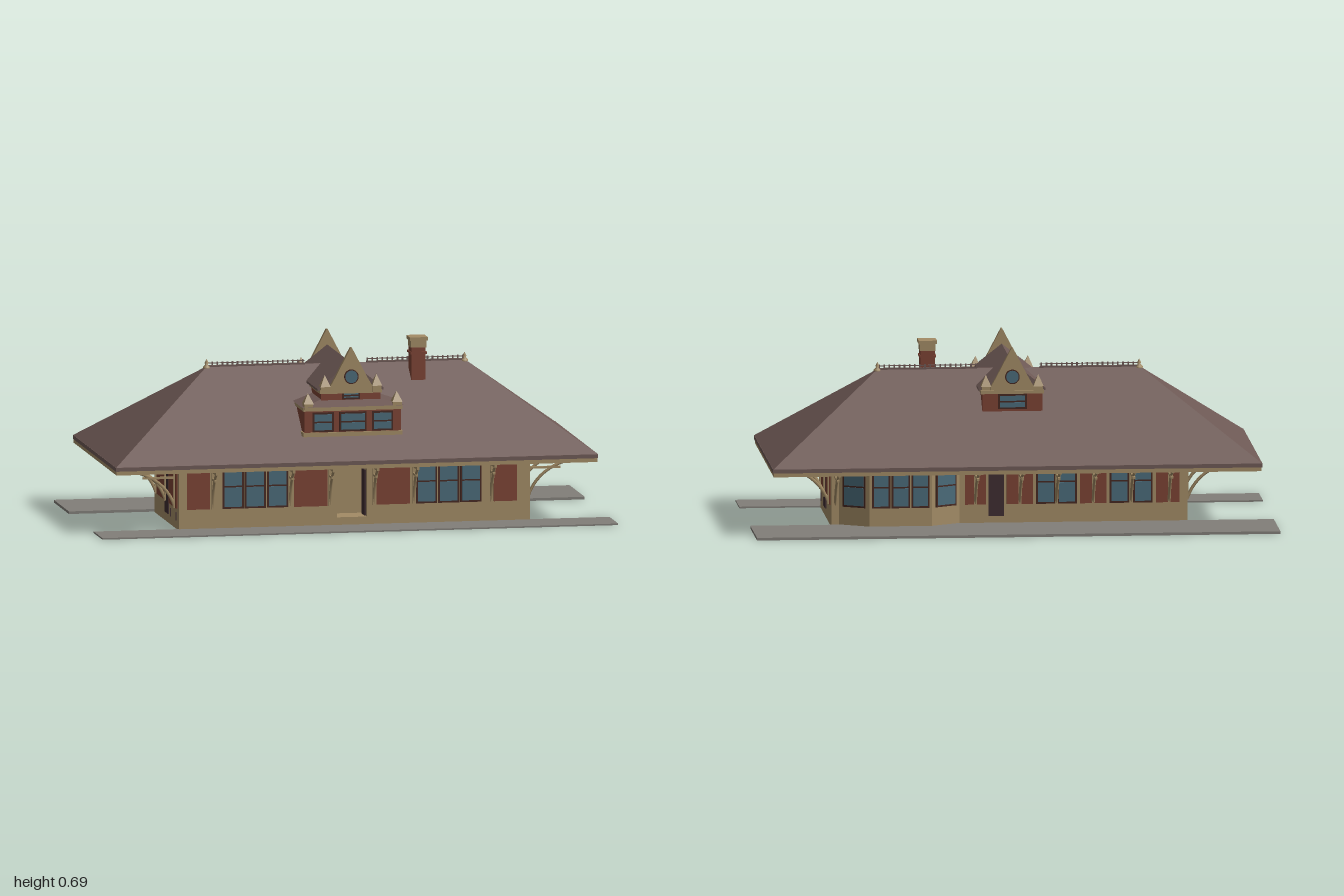
import * as THREE from 'three';

const mat = (name, color, side = THREE.FrontSide) => {
  const m = new THREE.MeshStandardMaterial({ color, side });
  m.name = name;
  return m;
};

export function createModel() {
  const tan = mat('sandstone', 0xa38c66);
  const brick = mat('brick', 0x7c4233);
  const roof = mat('roof slate', 0x6e5955);
  const glass = mat('window glass', 0x4a6b7a);
  const frame = mat('dark frame', 0x45261f);
  const door = mat('door', 0x3e2c30);
  const paving = mat('platform paving', 0x827f79);

  const model = new THREE.Group();
  model.name = 'station';

  const add = (parent, name, geo, material) => {
    const m = new THREE.Mesh(geo, material);
    m.name = name;
    parent.add(m);
    return m;
  };
  // box given by its limits
  const box = (parent, name, material, x0, x1, y0, y1, z0, z1) => {
    const m = add(parent, name, new THREE.BoxGeometry(x1 - x0, y1 - y0, z1 - z0), material);
    m.position.set((x0 + x1) / 2, (y0 + y1) / 2, (z0 + z1) / 2);
    return m;
  };
  // four sloping sides from a lower rectangle to an upper one (or a ridge line)
  const slopes = (name, material, [x0, x1, z0, z1], y0, [a0, a1, b0, b1], y1) => {
    const low = [[x0, y0, z1], [x1, y0, z1], [x1, y0, z0], [x0, y0, z0]];
    const top = [[a0, y1, b1], [a1, y1, b1], [a1, y1, b0], [a0, y1, b0]];
    const pos = [];
    for (let i = 0; i < 4; i++) {
      const j = (i + 1) % 4;
      pos.push(...low[i], ...low[j], ...top[j], ...low[i], ...top[j], ...top[i]);
    }
    pos.push(...top[0], ...top[1], ...top[2], ...top[0], ...top[2], ...top[3]);
    const g = new THREE.BufferGeometry();
    g.setAttribute('position', new THREE.Float32BufferAttribute(pos, 3));
    g.computeVertexNormals();
    return add(model, name, g, material);
  };
  const extrude = (points, depth) => new THREE.ExtrudeGeometry(
    new THREE.Shape(points.map(p => new THREE.Vector2(...p))), { depth, bevelEnabled: false });

  // group on a wall: local x runs along it, local z points outwards
  const wall = (name, x, z, angle) => {
    const g = new THREE.Group();
    g.name = name;
    g.position.set(x, 0, z);
    g.rotation.y = angle;
    model.add(g);
    return g;
  };
  const panel = (g, name, material, u0, u1, y0, y1, out = 0.004) =>
    box(g, name, material, Math.min(u0, u1), Math.max(u0, u1), y0, y1, -0.001, out);
  const windowAt = (g, u, w, y0, y1, rail = 0.55) => {
    panel(g, 'windowFrame', frame, u - w / 2, u + w / 2, y0, y1, 0.004);
    const b = 0.007, r = y0 + (y1 - y0) * rail;
    panel(g, 'lowerPane', glass, u - w / 2 + b, u + w / 2 - b, y0 + b, r - 0.003, 0.006);
    panel(g, 'upperPane', glass, u - w / 2 + b, u + w / 2 - b, r + 0.003, y1 - b, 0.006);
  };
  // curved eave bracket with wall post and two beams
  const bracket = (g, u, reach) => {
    const t = 0.005;
    box(g, 'bracketPost', tan, u - t, u + t, 0.08, 0.235, 0, 0.01);
    box(g, 'bracketBeam', tan, u - t, u + t, 0.222, 0.235, 0, reach);
    box(g, 'bracketTie', tan, u - t, u + t, 0.192, 0.2, 0, reach * 0.68);
    const arc = new THREE.QuadraticBezierCurve3(new THREE.Vector3(u, 0.085, 0.005),
      new THREE.Vector3(u, 0.195, reach * 0.22), new THREE.Vector3(u, 0.225, reach * 0.92));
    add(g, 'bracketArc', new THREE.TubeGeometry(arc, 10, 0.006, 4), tan);
  };

  // platforms
  box(model, 'frontPlatform', paving, -1, 1, 0, 0.006, 0.315, 0.49);
  box(model, 'backPlatform', paving, -1, 1, 0, 0.01, -0.49, -0.185);

  // walls: footprint with an entrance recess and an angled bay at the back
  const footprint = [[-0.67, 0.32], [-0.058, 0.32], [-0.058, 0.22], [0.058, 0.22], [0.058, 0.32],
    [0.69, 0.32], [0.69, -0.18], [0.66, -0.18], [0.55, -0.245], [0.31, -0.245], [0.2, -0.18], [-0.67, -0.18]];
  add(model, 'walls', extrude(footprint.map(([x, z]) => [x, -z]), 0.236).rotateX(-Math.PI / 2), tan);
  box(model, 'entranceStep', tan, -0.058, 0.058, 0, 0.035, 0.22, 0.322);
  for (const s of [-1, 1])
    box(model, 'entranceDoor', door, s * 0.056 - 0.003, s * 0.056 + 0.003, 0.035, 0.21, 0.235, 0.3);

  // front wall
  const front = wall('frontWall', 0, 0.32, 0);
  for (const s of [-1, 1]) {
    panel(front, 'brickPanel', brick, s * 0.55, s * 0.64, 0.08, 0.235);
    panel(front, 'brickPanel', brick, s * 0.095, s * 0.225, 0.08, 0.235);
    for (const u of [0.289, 0.375, 0.461]) windowAt(front, s * u, 0.082, 0.08, 0.235);
    for (const u of [0.085, 0.24, 0.54]) bracket(front, s * u, 0.09);
  }

  // end walls
  for (const s of [1, -1]) {
    const end = wall(s > 0 ? 'leftEndWall' : 'rightEndWall', s > 0 ? 0.69 : -0.67, 0, s * Math.PI / 2);
    const at = (name, m, z0, z1, y0, y1) => panel(end, name, m, -s * z0, -s * z1, y0, y1);
    at('brickPanel', brick, 0.285, 0.125, 0.08, 0.235);
    at('brickPanel', brick, 0.045, -0.145, 0.08, 0.235);
    at('endDoor', door, 0.12, 0.052, 0.035, 0.212);
    at('transom', glass, 0.12, 0.052, 0.217, 0.235);
    for (const z of [0.27, 0.157]) at('vent', door, z, z - 0.004, 0.032, 0.064);
    for (const z of [0.257, 0.069, -0.12]) bracket(end, -s * z, 0.19);
  }

  // back wall and bay
  const back = wall('backWall', 0, -0.18, Math.PI);
  for (const [a, b] of [[-0.64, -0.55], [-0.36, -0.26], [-0.08, 0.02], [0.1, 0.18]])
    panel(back, 'brickPanel', brick, -a, -b, 0.08, 0.235);
  for (const x of [-0.5, -0.41, -0.21, -0.13]) windowAt(back, -x, 0.075, 0.08, 0.235);
  panel(back, 'backDoor', door, -0.03, -0.09, 0.035, 0.215);
  for (const x of [-0.6, -0.455, -0.31, -0.17, -0.03, 0.14, 0.675]) bracket(back, -x, 0.2);
  const bay = wall('bayFront', 0.43, -0.245, Math.PI);
  for (const u of [-0.075, 0, 0.075]) windowAt(bay, u, 0.07, 0.08, 0.225);
  for (const s of [-1, 1]) {
    const side = wall('baySide', 0.43 + s * 0.175, -0.2125, Math.atan2(s * 0.065, -0.11));
    windowAt(side, 0, 0.095, 0.08, 0.225);
  }

  // main roof
  box(model, 'eaveFascia', tan, -0.932, 0.932, 0.235, 0.25, -0.443, 0.423);
  box(model, 'roofEdge', roof, -0.935, 0.935, 0.25, 0.265, -0.445, 0.425);
  slopes('mainRoof', roof, [-0.935, 0.935, -0.445, 0.425], 0.264, [-0.5, 0.5, -0.012, -0.008], 0.58);

  // ridge cresting and finials
  for (const s of [-1, 1]) {
    const a = s > 0 ? 0.12 : -0.5;
    box(model, 'crestingRail', roof, a, a + 0.38, 0.578, 0.584, -0.016, -0.004);
    box(model, 'crestingTopRail', roof, a, a + 0.38, 0.591, 0.594, -0.012, -0.008);
    for (let i = 0; i < 20; i++)
      box(model, 'crestingBar', roof, a + i * 0.0195, a + i * 0.0195 + 0.006, 0.58, 0.597, -0.012, -0.008);
    const profile = [[0.014, 0], [0.014, 0.006], [0.005, 0.014], [0.008, 0.02], [0, 0.036]];
    const f = add(model, 'finial', new THREE.LatheGeometry(profile.map(p => new THREE.Vector2(...p)), 8), tan);
    f.position.set(s * 0.5, 0.573, -0.01);
  }

  // chimney
  box(model, 'chimneyStack', brick, 0.277, 0.333, 0.48, 0.645, 0.02, 0.077);
  box(model, 'chimneyBand', brick, 0.273, 0.337, 0.618, 0.626, 0.016, 0.081);
  box(model, 'chimneyNeck', tan, 0.275, 0.335, 0.643, 0.672, 0.018, 0.079);
  box(model, 'chimneyCap', tan, 0.27, 0.34, 0.67, 0.683, 0.013, 0.084);

  // wide lower dormer at the front
  box(model, 'lowerDormerSill', tan, -0.192, 0.192, 0.35, 0.366, 0.15, 0.344);
  box(model, 'lowerDormerWalls', brick, -0.187, 0.187, 0.36, 0.45, 0.1, 0.338);
  box(model, 'lowerDormerCornice', tan, -0.192, 0.192, 0.448, 0.463, 0.1, 0.342);
  slopes('lowerDormerRoof', roof, [-0.197, 0.197, 0.06, 0.345], 0.463, [-0.11, 0.11, 0.1, 0.29], 0.488);
  const lower = wall('lowerDormerFront', 0, 0.338, 0);
  for (const [u, w] of [[-0.115, 0.082], [0, 0.105], [0.115, 0.082]]) windowAt(lower, u, w, 0.368, 0.443, 0.5);

  // upper cross dormer running through the ridge
  box(model, 'upperDormerWalls', brick, -0.115, 0.115, 0.42, 0.512, -0.202, 0.3);
  box(model, 'upperDormerCornice', tan, -0.12, 0.12, 0.508, 0.521, -0.204, 0.304);
  const gableRoof = add(model, 'upperDormerRoof',
    extrude([[-0.128, 0.518], [0.128, 0.518], [0.128, 0.526], [0, 0.626], [-0.128, 0.526]], 0.47), roof);
  gableRoof.position.z = -0.18;

  const pinnacle = (x, y, z, h) => {
    box(model, 'pinnacleBase', tan, x - 0.017, x + 0.017, y, y + h * 0.35, z - 0.017, z + 0.017);
    const g = new THREE.ConeGeometry(0.028, h * 0.65, 4).toNonIndexed().rotateY(Math.PI / 4);
    g.computeVertexNormals();
    add(model, 'pinnacleCap', g, tan).position.set(x, y + h * 0.675, z);
  };
  for (const s of [1, -1]) {
    // parapet gable with a round window
    const face = wall(s > 0 ? 'frontGable' : 'backGable', 0, s > 0 ? 0.308 : -0.198, s > 0 ? 0 : Math.PI);
    const gable = add(face, 'gable', extrude([[-0.082, 0.512], [0.082, 0.512], [0.082, 0.535],
      [0.062, 0.57], [0.01, 0.685], [-0.01, 0.685], [-0.062, 0.57], [-0.082, 0.535]].map(([x, y]) =>
      [y > 0.68 ? x * 0.2 : x, y]), 0.02), tan);
    gable.position.z = -0.02;
    add(face, 'roundWindowFrame', new THREE.CylinderGeometry(0.028, 0.028, 0.006, 20).rotateX(Math.PI / 2), frame)
      .position.set(0, 0.573, 0.001);
    add(face, 'roundWindow', new THREE.CylinderGeometry(0.024, 0.024, 0.006, 20).rotateX(Math.PI / 2), glass)
      .position.set(0, 0.573, 0.003);
    const low = wall('gableWindow', 0, s > 0 ? 0.3 : -0.202, s > 0 ? 0 : Math.PI);
    if (s > 0) windowAt(low, 0, 0.07, 0.485, 0.515, 0.5);
    else windowAt(low, 0, 0.11, 0.45, 0.508, 0.5);
    for (const x of [-1, 1]) pinnacle(x * 0.1, 0.512, s > 0 ? 0.293 : -0.183, 0.068);
  }
  for (const x of [-1, 1]) pinnacle(x * 0.172, 0.455, 0.327, 0.062);

  return model;
}
